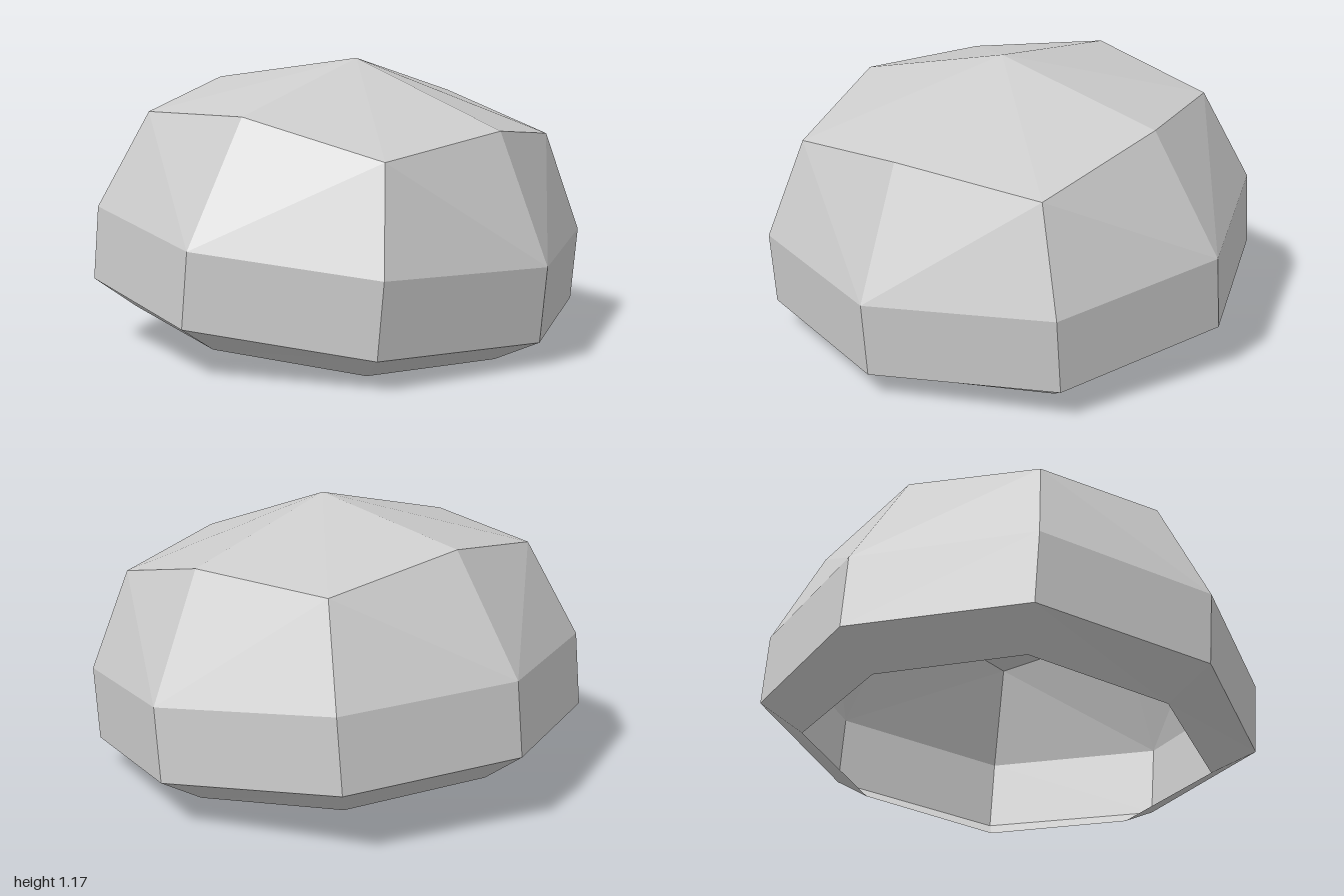
import * as THREE from 'three';

// Eight-sided rings, bottom to top: side-middle points and corner points alternate.
// mid/corner: horizontal offsets; midY/cornerY: heights
const RINGS = [
  { mid: 0.795, midY: -0.115, corner: 0.59, cornerY: -0.115 },
  { mid: 0.988, midY: 0, corner: 0.72, cornerY: 0 },
  { mid: 0.988, midY: 0.305, corner: 0.72, cornerY: 0.305 },
  { mid: 0.717, midY: 0.795, corner: 0.59, cornerY: 0.71 },
];
const APEX = [0, 0.98, 0];

function ringPoint(ring, i) {
  const a = ((i % 8) * Math.PI) / 4;
  const isCorner = i % 2 === 1;
  const r = isCorner ? ring.corner * Math.SQRT2 : ring.mid;
  return [Math.cos(a) * r, isCorner ? ring.cornerY : ring.midY, Math.sin(a) * r];
}

function facetedGeometry(triangles) {
  const g = new THREE.BufferGeometry();
  g.setAttribute('position', new THREE.Float32BufferAttribute(triangles.flat(2), 3));
  g.computeVertexNormals();
  return g;
}

// Band of facets joining two neighbouring rings
function band(lower, upper) {
  const tris = [];
  for (let i = 0; i < 8; i++) {
    const la = ringPoint(lower, i), lb = ringPoint(lower, i + 1);
    const ua = ringPoint(upper, i), ub = ringPoint(upper, i + 1);
    if (i % 2 === 0) tris.push([la, ua, ub], [la, ub, lb]);
    else tris.push([la, ua, lb], [lb, ua, ub]);
  }
  return facetedGeometry(tris);
}

// Shallow crown closing the top ring
function crown(ring) {
  const tris = [];
  for (let i = 0; i < 8; i++) tris.push([APEX, ringPoint(ring, i + 1), ringPoint(ring, i)]);
  return facetedGeometry(tris);
}

export function createModel() {
  const grey = new THREE.MeshStandardMaterial({
    name: 'grey', color: 0xcccccc, flatShading: true, side: THREE.DoubleSide,
  });
  const model = new THREE.Group();
  model.name = 'tiltedShell';

  // Hollow shell, open underneath and leaning towards +x
  const shell = new THREE.Group();
  shell.name = 'shell';
  ['lowerLip', 'rimBand', 'shoulder'].forEach((name, i) => {
    const mesh = new THREE.Mesh(band(RINGS[i], RINGS[i + 1]), grey);
    mesh.name = name;
    shell.add(mesh);
  });
  const top = new THREE.Mesh(crown(RINGS[3]), grey);
  top.name = 'crown';
  shell.add(top);

  shell.rotation.z = -0.1;
  shell.position.set(-0.018, 0.2, 0);
  model.add(shell);
  return model;
}
